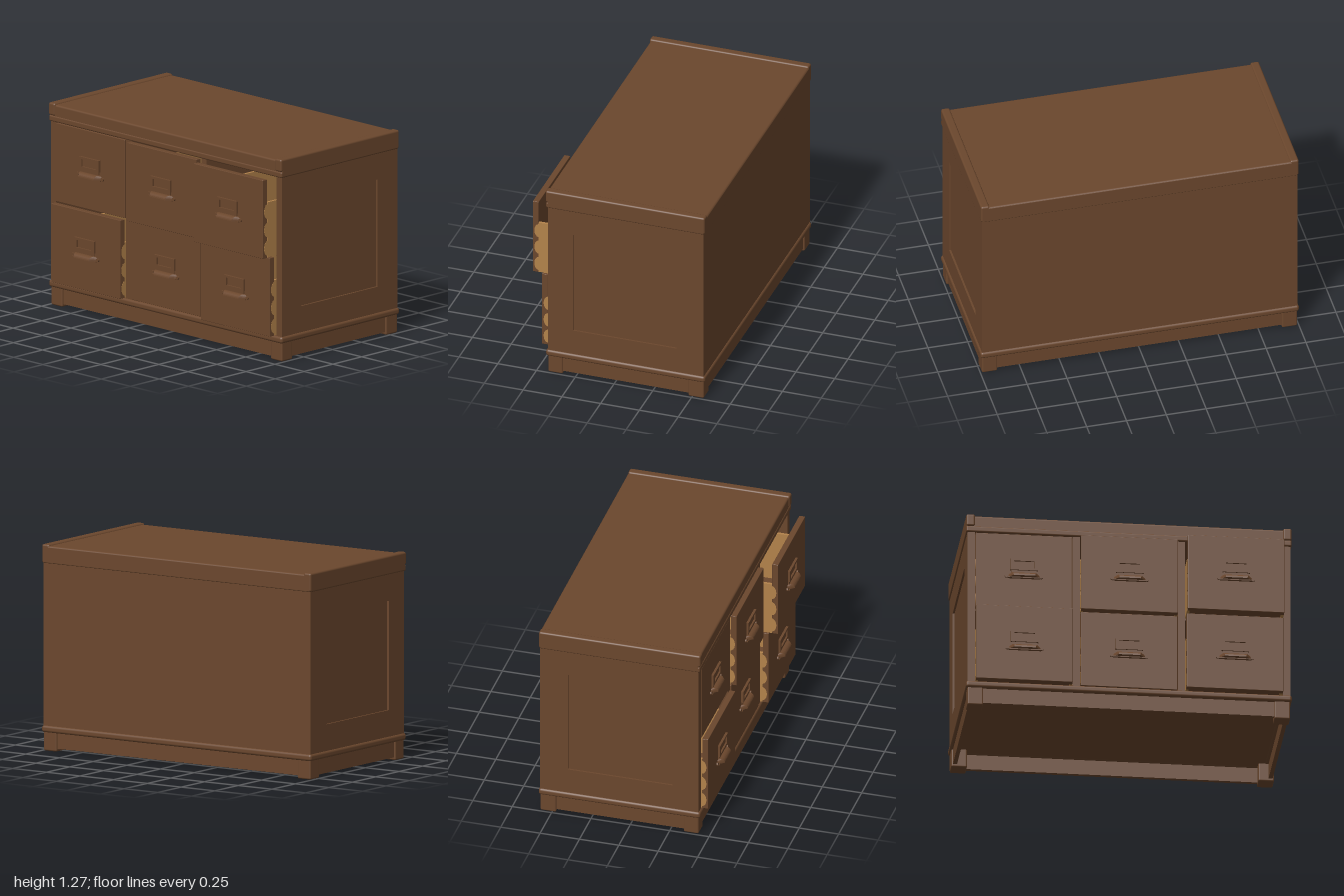
import * as THREE from 'three';
import { RoundedBoxGeometry } from 'three/addons/geometries/RoundedBoxGeometry.js';
import { ConvexGeometry } from 'three/addons/geometries/ConvexGeometry.js';

const wood = new THREE.MeshStandardMaterial({ color: 0x6b472d });
wood.name = 'brownWood';
const pale = new THREE.MeshStandardMaterial({ color: 0xb3834b });
pale.name = 'paleWood';

function add(parent, name, geometry, material = wood) {
  const mesh = new THREE.Mesh(geometry, material);
  mesh.name = name;
  parent.add(mesh);
  return mesh;
}

// Box given by its limits; a radius rounds the edges
function box(parent, name, [x0, x1], [y0, y1], [z0, z1], radius = 0, material = wood) {
  const size = [x1 - x0, y1 - y0, z1 - z0];
  const geometry = radius ? new RoundedBoxGeometry(...size, 3, radius) : new THREE.BoxGeometry(...size);
  geometry.translate((x0 + x1) / 2, (y0 + y1) / 2, (z0 + z1) / 2);
  return add(parent, name, geometry, material);
}

function rectPath(PathClass, x0, x1, y0, y1) {
  return new PathClass([[x0, y0], [x1, y0], [x1, y1], [x0, y1]].map(p => new THREE.Vector2(...p)));
}

// Extrudes a shape drawn in (-z, y) along x, starting at x0
function extrudeAlongX(shape, x0, depth) {
  return new THREE.ExtrudeGeometry(shape, { depth, bevelEnabled: false, curveSegments: 10 })
    .rotateY(Math.PI / 2).translate(x0, 0, 0);
}

// Label frame and cup pull, with z = 0 on the drawer face and y = 0 at the drawer's lower edge
function createHandle() {
  const handle = new THREE.Group();
  handle.name = 'handle';
  const frame = rectPath(THREE.Shape, -0.085, 0.085, 0.25, 0.325);
  frame.holes.push(rectPath(THREE.Path, -0.063, 0.063, 0.264, 0.311));
  add(handle, 'labelFrame', new THREE.ExtrudeGeometry(frame, { depth: 0.015, bevelEnabled: false }));
  box(handle, 'labelCard', [-0.064, 0.064], [0.263, 0.312], [-0.002, 0.004]);
  box(handle, 'backPlate', [-0.078, 0.078], [0.205, 0.252], [-0.002, 0.007]);

  // Cup: trapezoid in plan, quarter round in section
  const points = [];
  for (let i = 0; i <= 6; i++) {
    const a = (i / 6) * Math.PI / 2;
    const y = 0.203 + 0.027 * Math.cos(a);
    const z = 0.012 + 0.028 * Math.sin(a);
    for (const s of [-1, 1]) {
      points.push(new THREE.Vector3(s * (0.078 + 0.022 * Math.sin(a)), y, 0));
      points.push(new THREE.Vector3(s * (0.078 - 0.012 * Math.sin(a)), y, z));
    }
  }
  add(handle, 'cupPull', new ConvexGeometry(points));
  box(handle, 'pullLip', [-0.1, 0.1], [0.197, 0.204], [-0.002, 0.016]);
  for (const s of [-1, 1]) {
    const ear = add(handle, 'pullEar', new THREE.CylinderGeometry(0.011, 0.011, 0.012, 12).rotateX(Math.PI / 2));
    ear.position.set(s * 0.107, 0.21, 0.004);
  }
  return handle;
}

// Drawer with its front face at z = 0 and its lower edge at y = 0
function createDrawer(height) {
  const drawer = new THREE.Group();
  drawer.name = 'drawer';
  const half = 0.296, thick = 0.038, depth = 0.93, wall = 0.35;
  box(drawer, 'drawerFront', [-half, half], [0, height], [-thick, 0], 0.003);

  // Side boards end in rounded joints let into the drawer front
  const side = new THREE.Shape();
  side.moveTo(depth, 0.003);
  side.lineTo(depth, wall);
  side.lineTo(thick, wall);
  const lobes = 3, step = (wall - 0.003) / lobes;
  for (let i = 0; i < lobes; i++) {
    const top = wall - i * step;
    side.lineTo(thick, top - step * 0.1);
    side.bezierCurveTo(0.002, top - step * 0.15, 0.002, top - step * 0.85, thick, top - step * 0.9);
    side.lineTo(thick, top - step);
  }
  for (const x of [-half - 0.001, half - 0.016]) {
    add(drawer, 'drawerSide', extrudeAlongX(side, x, 0.017), pale);
  }
  box(drawer, 'drawerBack', [-half + 0.015, half - 0.015], [0.003, wall], [-depth, -depth + 0.015], 0, pale);
  box(drawer, 'drawerBottom', [-half + 0.015, half - 0.015], [0.01, 0.025], [-depth + 0.015, -thick]);
  drawer.add(createHandle());
  return drawer;
}

export function createModel() {
  const model = new THREE.Group();
  model.name = 'drawerCabinet';

  // Carcass
  box(model, 'backPanel', [-0.975, 0.975], [0.13, 1.18], [-0.575, -0.55]);
  box(model, 'floor', [-0.975, 0.975], [0.118, 0.15], [-0.56, 0.425]);
  for (const s of [-1, 1]) {
    // Side frame with a sunken panel
    const sideFrame = rectPath(THREE.Shape, -0.43, 0.575, 0.13, 1.18);
    sideFrame.holes.push(rectPath(THREE.Path, -0.265, 0.4, 0.32, 0.995));
    add(model, 'sideFrame', extrudeAlongX(sideFrame, s > 0 ? 0.965 : -0.99, 0.025));
    box(model, 'sidePanel', s > 0 ? [0.945, 0.978] : [-0.978, -0.945], [0.15, 1.17], [-0.56, 0.425]);
    box(model, 'divider', s > 0 ? [0.3, 0.345] : [-0.345, -0.3], [0.14, 1.17], [-0.56, 0.43]);
    box(model, 'frontStile', s > 0 ? [0.944, 0.988] : [-0.988, -0.944], [0.14, 1.17], [0.39, 0.431]);
  }
  for (const x of [-0.645, 0, 0.645]) {
    box(model, 'drawerRail', [x - 0.3, x + 0.3], [0.648, 0.662], [-0.55, 0.39]);
  }

  // Top with end caps and a trim below the edge
  box(model, 'topSlab', [-0.96, 0.96], [1.175, 1.266], [-0.583, 0.437], 0.012);
  box(model, 'topTrim', [-0.998, 0.998], [1.158, 1.196], [-0.578, 0.441], 0.01);
  for (const s of [-1, 1]) {
    box(model, 'endCap', s > 0 ? [0.944, 0.998] : [-0.998, -0.944], [1.16, 1.275], [-0.583, 0.436], 0.012);
    box(model, 'capNose', s > 0 ? [0.944, 0.998] : [-0.998, -0.944], [1.196, 1.275], [0.38, 0.444], 0.012);
  }
  box(model, 'backFascia', [-0.99, 0.99], [1.16, 1.262], [-0.583, -0.55], 0.006);

  // Base moulding as a rounded frame
  for (const s of [-1, 1]) {
    box(model, 'sideMoulding', s > 0 ? [0.93, 1] : [-1, -0.93], [0.114, 0.157], [-0.585, 0.442], 0.016);
    box(model, 'longMoulding', [-1, 1], [0.114, 0.157], s > 0 ? [0.38, 0.442] : [-0.585, -0.52], 0.016);
  }

  // Plinth boards and feet
  for (const s of [-1, 1]) {
    box(model, 'sidePlinth', s > 0 ? [0.955, 0.98] : [-0.98, -0.955], [0.018, 0.125], [-0.55, 0.4]);
    box(model, 'longPlinth', [-0.95, 0.95], [0.018, 0.125], s > 0 ? [0.395, 0.42] : [-0.565, -0.54]);
    for (const z of [[0.335, 0.43], [-0.575, -0.475]]) {
      box(model, 'foot', s > 0 ? [0.893, 0.99] : [-0.99, -0.893], [0, 0.125], z, 0.01);
    }
  }

  // Drawers, each pulled out by its own amount
  const rows = [
    { y: 0.159, height: 0.495, faces: [0.477, 0.436, 0.485] },
    { y: 0.66, height: 0.494, faces: [0.436, 0.47, 0.545] },
  ];
  for (const row of rows) {
    row.faces.forEach((z, i) => {
      const drawer = createDrawer(row.height);
      drawer.position.set((i - 1) * 0.645, row.y, z);
      model.add(drawer);
    });
  }
  return model;
}
